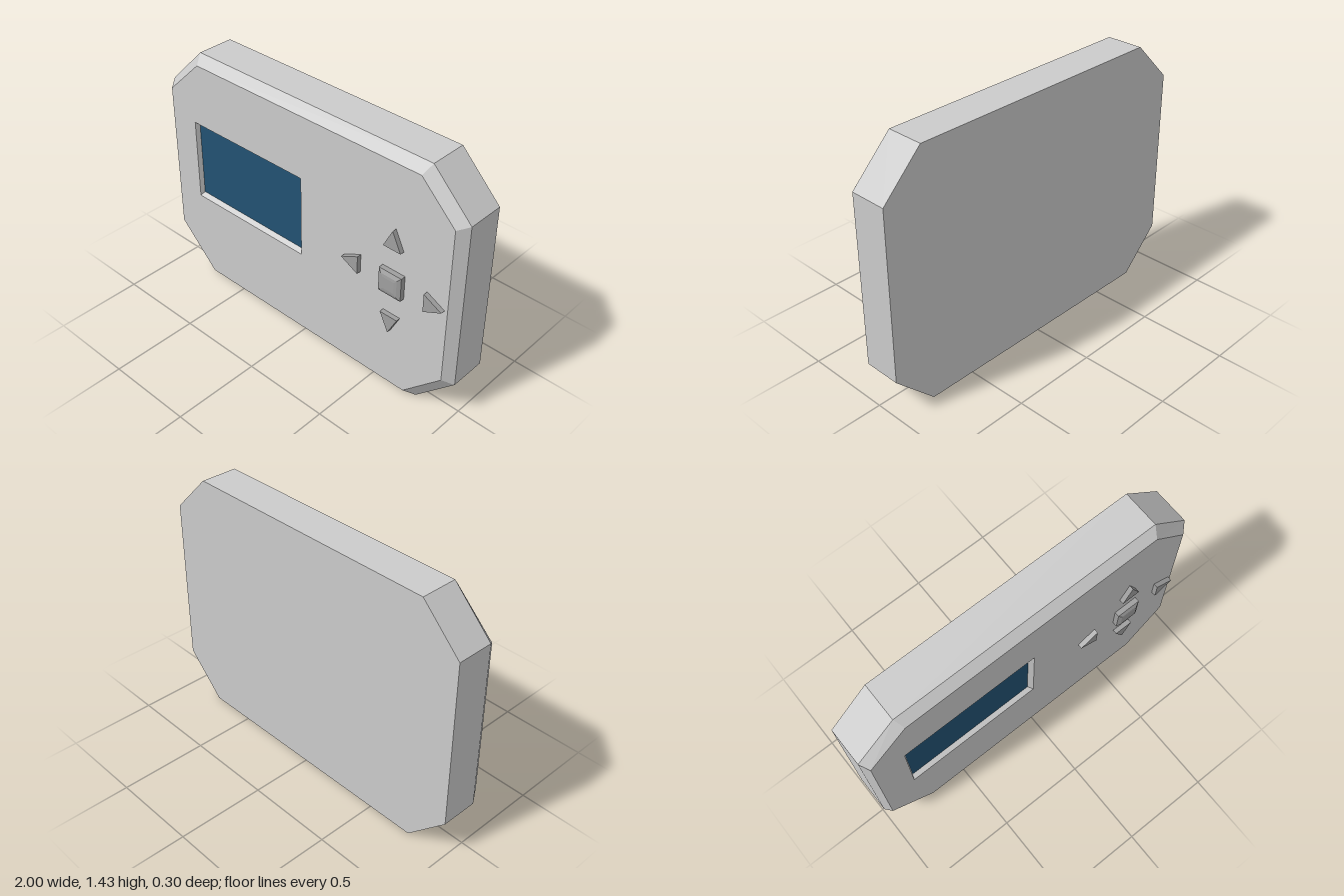
import * as THREE from 'three';

// Counter-clockwise rectangle outline
const rect = (x0, x1, y0, y1) => [[x0, y0], [x1, y0], [x1, y1], [x0, y1]];

// Joins outlines [points, z] with flat-sided bands; optionally caps the first and last.
// A hole outline may be cut from the last cap.
function loft(rings, { startCap = false, endCap = false, hole = null } = {}) {
  const pos = [];
  const put = (p, z) => pos.push(p[0], p[1], z);
  for (let r = 0; r < rings.length - 1; r++) {
    const [a, za] = rings[r], [b, zb] = rings[r + 1];
    for (let i = 0; i < a.length; i++) {
      const j = (i + 1) % a.length;
      put(a[i], za); put(a[j], za); put(b[j], zb);
      put(a[i], za); put(b[j], zb); put(b[i], zb);
    }
  }
  const cap = ([points, z], flip, cut) => {
    const outline = points.map(p => new THREE.Vector2(...p));
    const holes = cut ? [cut.map(p => new THREE.Vector2(...p)).reverse()] : [];
    const all = [outline, ...holes].flat();
    for (const f of THREE.ShapeUtils.triangulateShape(outline, holes)) {
      const t = f.map(k => all[k]);
      const area = (t[1].x - t[0].x) * (t[2].y - t[0].y) - (t[2].x - t[0].x) * (t[1].y - t[0].y);
      if ((area < 0) !== flip) t.reverse();
      t.forEach(v => put([v.x, v.y], z));
    }
  };
  if (startCap) cap(rings[0], true, null);
  if (endCap) cap(rings[rings.length - 1], false, hole);
  const g = new THREE.BufferGeometry();
  g.setAttribute('position', new THREE.Float32BufferAttribute(pos, 3));
  g.computeVertexNormals();
  return g;
}

export function createModel() {
  const group = new THREE.Group();
  const material = (name, color) => {
    const m = new THREE.MeshStandardMaterial({ color });
    m.name = name;
    return m;
  };
  const casing = material('light grey casing', 0xcbcbcb);
  const keys = material('mid grey keys', 0x9f9f9f);
  const glass = material('dark blue display', 0x225272);
  const add = (name, geometry, mat) => {
    const mesh = new THREE.Mesh(geometry, mat);
    mesh.name = name;
    group.add(mesh);
  };

  // Eight-sided casing with a bevelled front and a window opening
  const FRONT = 0.11;
  const outer = [[-0.77, 0], [0.77, 0], [1, 0.23], [1, 1.2], [0.77, 1.43], [-0.77, 1.43], [-1, 1.2], [-1, 0.23]];
  const face = [[-0.72, 0.035], [0.72, 0.035], [0.95, 0.265], [0.95, 1.18], [0.745, 1.38], [-0.745, 1.38], [-0.97, 1.165], [-0.97, 0.28]];
  const opening = rect(-0.795, 0, 0.54, 1.02);
  const floor = rect(-0.785, -0.02, 0.557, 1.008);
  add('casing', loft([[outer, -0.15], [outer, 0.06], [face, FRONT]], { startCap: true, endCap: true, hole: opening }), casing);

  // Sloped recess and the display at its bottom
  add('displayFrame', loft([[opening, FRONT], [floor, FRONT - 0.025]]), casing);
  add('display', loft([[floor, FRONT - 0.025]], { endCap: true }), glass);

  // Four arrow keys around the centre key
  const cx = 0.62, cy = 0.705;
  const arrows = [['rightKey', 0, 0.205], ['upKey', 1, 0.21], ['leftKey', 2, 0.21], ['downKey', 3, 0.205]];
  for (const [name, turn, near] of arrows) {
    const a = turn * Math.PI / 2, c = Math.cos(a), s = Math.sin(a);
    const tri = [[near, -0.054], [near + 0.108, 0], [near, 0.054]]
      .map(([x, y]) => [cx + x * c - y * s, cy + x * s + y * c]);
    add(name, loft([[tri, FRONT], [tri, 0.136]], { startCap: true, endCap: true }), keys);
  }

  // Centre key with a stepped bevel
  const square = h => rect(cx - h, cx + h, cy - h, cy + h);
  add('centreKey', loft([[square(0.07), FRONT], [square(0.07), 0.138], [square(0.05), 0.148], [square(0.034), 0.15]],
    { startCap: true, endCap: true }), keys);

  return group;
}
